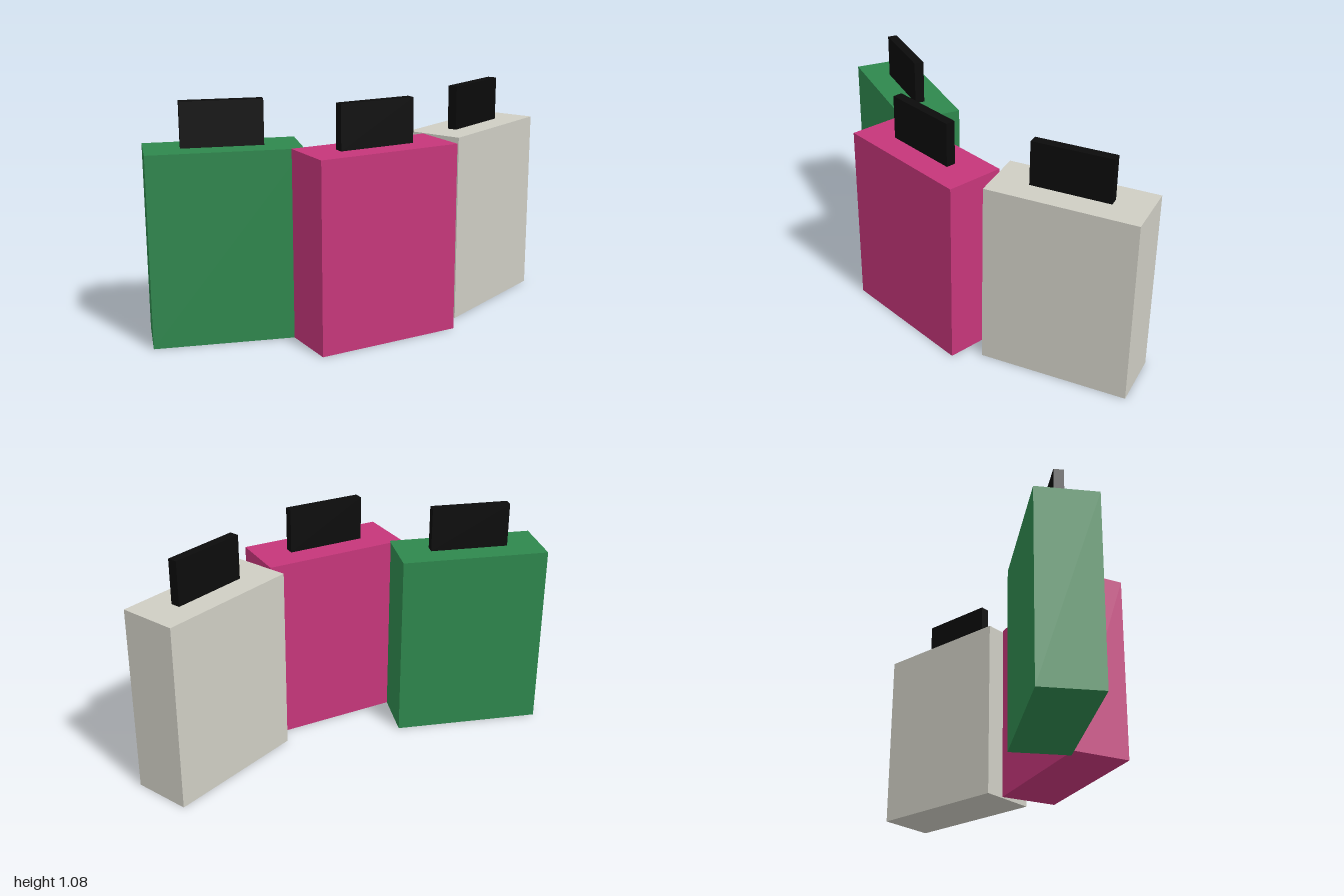
import * as THREE from 'three';

const BODY = { w: 0.685, h: 0.87, d: 0.274 };
const GRIP = { w: 0.366, h: 0.205, d: 0.045 };

function box(name, { w, h, d }, baseY, material) {
  const mesh = new THREE.Mesh(new THREE.BoxGeometry(w, h, d), material);
  mesh.name = name;
  mesh.position.y = baseY + h / 2;
  return mesh;
}

export function createModel() {
  const mat = (name, color) => {
    const m = new THREE.MeshStandardMaterial({ color });
    m.name = name;
    return m;
  };
  const black = mat('black', 0x0b0b0b);

  // Each case: body block with an upright grip plate centred on top
  const cases = [
    { name: 'greenCase', x: -0.632, z: -0.128, turn: -0.303, material: mat('green', 0x2e874d) },
    { name: 'pinkCase', x: -0.058, z: 0.22, turn: 0, material: mat('pink', 0xc5367a) },
    { name: 'greyCase', x: 0.629, z: -0.01, turn: 0.402, material: mat('warmGrey', 0xcecdc3) },
  ];

  const model = new THREE.Group();
  model.name = 'cases';
  for (const { name, x, z, turn, material } of cases) {
    const group = new THREE.Group();
    group.name = name;
    group.position.set(x, 0, z);
    group.rotation.y = turn;
    group.add(box('body', BODY, 0, material), box('grip', GRIP, BODY.h, black));
    model.add(group);
  }
  return model;
}
